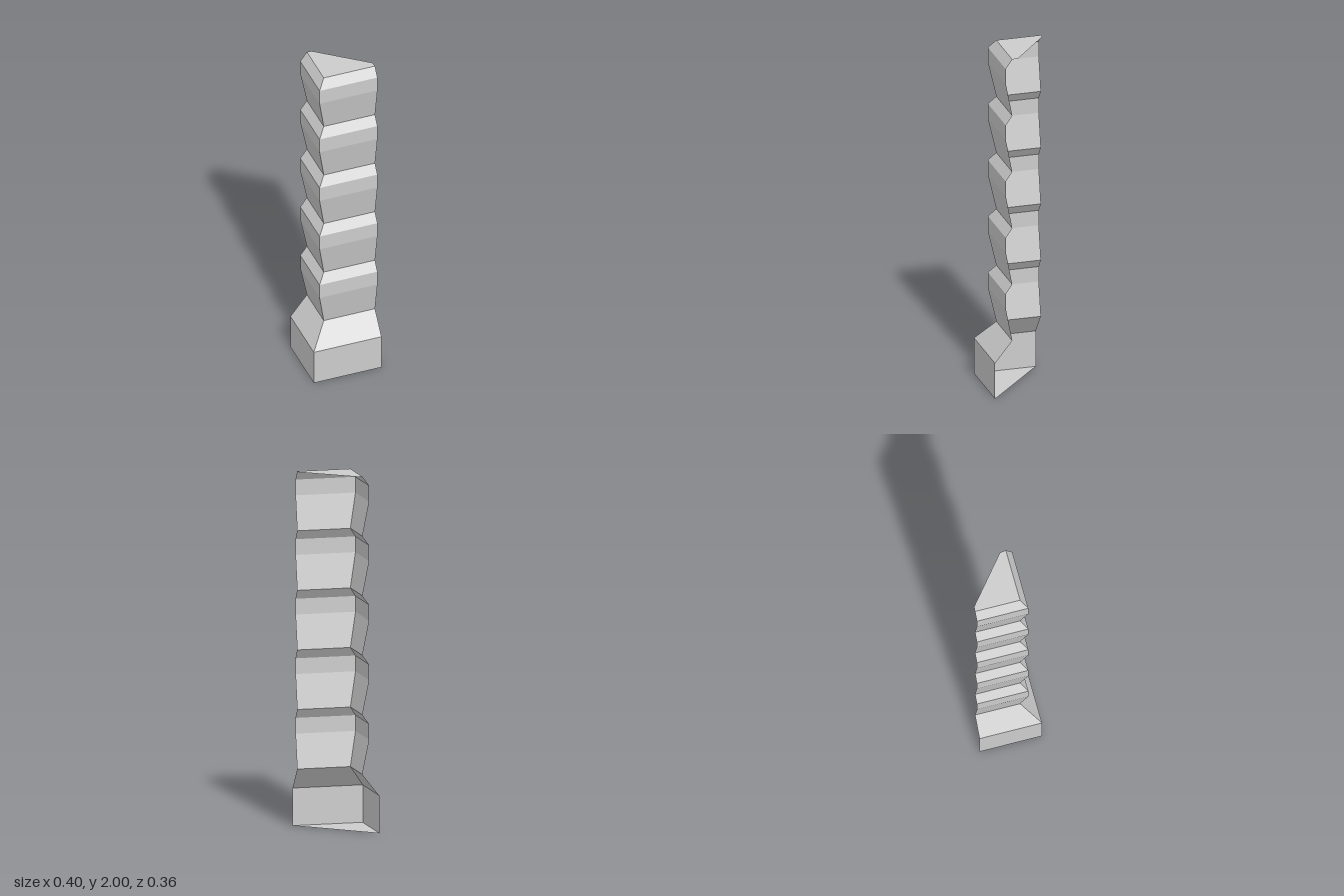
import * as THREE from 'three';

const material = new THREE.MeshStandardMaterial({
  color: 0xcccccc, flatShading: true, side: THREE.DoubleSide,
});

const RIGHT = 0.2, BACK = -0.178;

// L-shaped cross-section: back end, outer corner, right end
const section = ([x, z, y]) => [[x, y, BACK], [x, y, z], [RIGHT, y, z]];

// Two folded walls lofted through a list of [cornerX, cornerZ, y] levels
function walls(name, levels) {
  const pos = [];
  for (let i = 0; i < levels.length - 1; i++) {
    const lo = section(levels[i]), hi = section(levels[i + 1]);
    for (let j = 0; j < 2; j++) {
      pos.push(...lo[j], ...lo[j + 1], ...hi[j + 1], ...lo[j], ...hi[j + 1], ...hi[j]);
    }
  }
  const geo = new THREE.BufferGeometry();
  geo.setAttribute('position', new THREE.Float32BufferAttribute(pos, 3));
  geo.computeVertexNormals();
  const mesh = new THREE.Mesh(geo, material);
  mesh.name = name;
  return mesh;
}

// Flat horizontal plate from [x, z] outline points
function plate(name, outline, y) {
  const shape = new THREE.Shape(outline.map(([x, z]) => new THREE.Vector2(x, -z)));
  const geo = new THREE.ShapeGeometry(shape);
  geo.rotateX(-Math.PI / 2);
  geo.translate(0, y, 0);
  const mesh = new THREE.Mesh(geo, material);
  mesh.name = name;
  return mesh;
}

export function createModel() {
  const group = new THREE.Group();
  group.name = 'cornerColumn';

  // Plinth with a sloped shoulder
  group.add(walls('plinth', [[-0.2, 0.178, 0], [-0.2, 0.178, 0.21], [-0.103, 0.079, 1 / 3]]));

  // Five repeated flared segments
  for (let i = 1; i <= 5; i++) {
    const y = i / 3;
    group.add(walls('segment' + i, [
      [-0.103, 0.079, y],
      [-0.142, 0.116, y + 0.192],
      [-0.142, 0.116, y + 0.28],
      [-0.103, 0.079, y + 1 / 3],
    ]));
  }

  // Triangular bottom and clipped triangular top; the diagonal side stays open
  group.add(plate('bottomPlate', [[-0.2, BACK], [-0.2, 0.178], [RIGHT, 0.178]], 0));
  group.add(plate('topPlate',
    [[-0.103, BACK], [-0.103, 0.079], [RIGHT, 0.079], [0.195, 0.044], [-0.075, -0.176]], 2));
  return group;
}
